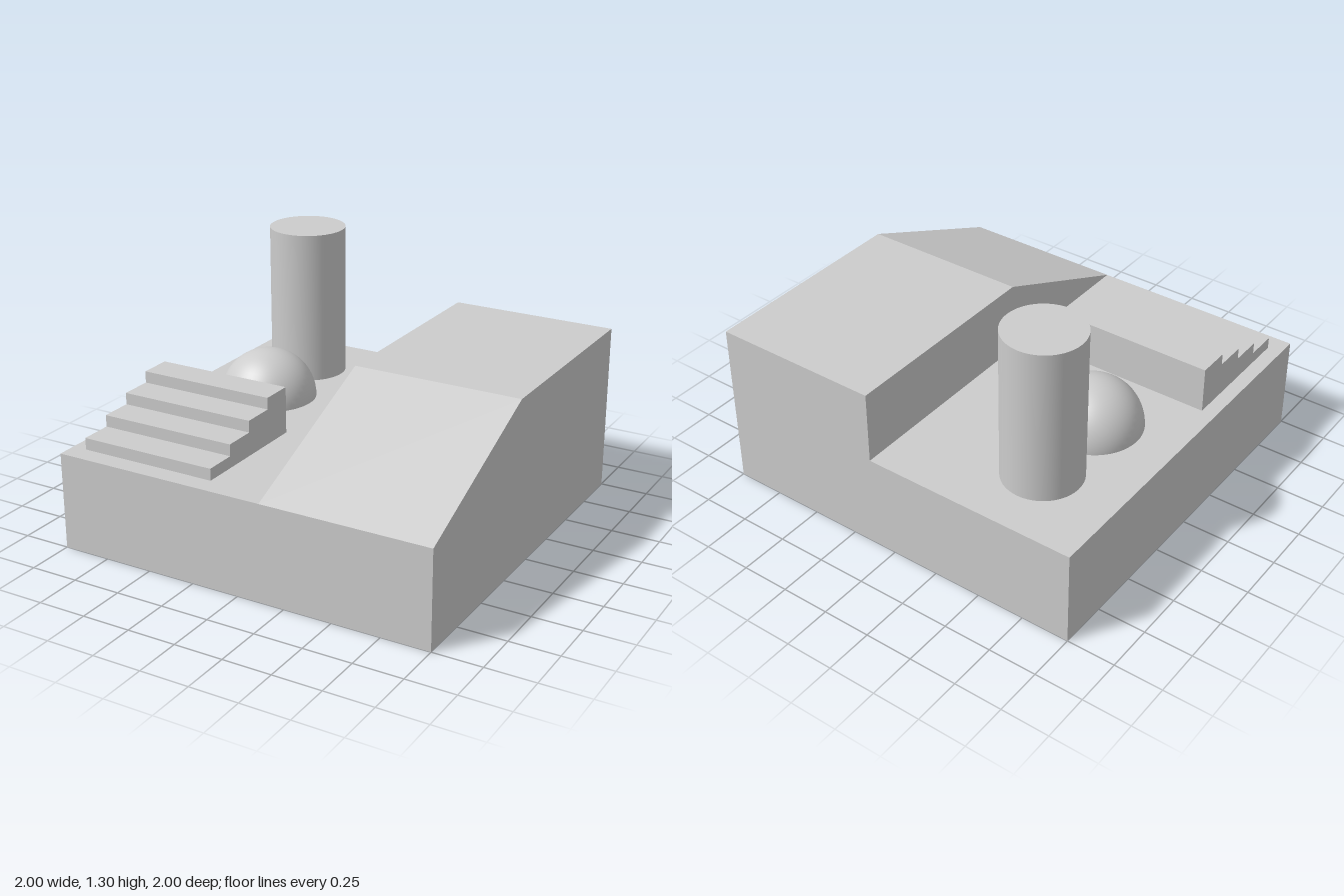
import * as THREE from 'three';

const grey = new THREE.MeshStandardMaterial({ color: 0xcccccc, side: THREE.DoubleSide });
grey.name = 'plain grey';

const GROUND = 0.5; // height of the deck everything stands on

function part(group, name, geometry, x = 0, y = 0, z = 0) {
  const mesh = new THREE.Mesh(geometry, grey);
  mesh.name = name;
  mesh.position.set(x, y, z);
  group.add(mesh);
}

// Side profile given as [z, y] points, extruded along x from x0 to x1
function profileAlongX(points, x0, x1) {
  const shape = new THREE.Shape(points.map(([z, y]) => new THREE.Vector2(-z, y)));
  const geometry = new THREE.ExtrudeGeometry(shape, { depth: x1 - x0, bevelEnabled: false });
  return geometry.rotateY(Math.PI / 2).translate(x0, 0, 0);
}

export function createModel() {
  const model = new THREE.Group();
  model.name = 'terrainBlock';

  // Base: a box shell open underneath (the downward side is left out)
  const base = new THREE.BoxGeometry(2, GROUND, 2);
  const index = Array.from(base.index.array);
  index.splice(18, 6);
  base.setIndex(index);
  base.clearGroups();
  part(model, 'base', base, 0, GROUND / 2, 0);

  // Raised platform with a ramp down to the front edge
  const ramp = [[1, GROUND], [0.125, 0.875], [-1, 0.875], [-1, GROUND]];
  part(model, 'rampPlatform', profileAlongX(ramp, 0.125, 1));

  // Four steps rising towards the back
  const steps = 4, front = 0.9, tread = 0.165, rise = 0.06;
  const stair = [[front, GROUND]];
  for (let i = 0; i < steps; i++) {
    const y = GROUND + rise * (i + 1);
    stair.push([front - tread * i, y], [front - tread * (i + 1), y]);
  }
  stair.push([front - tread * steps, GROUND]);
  part(model, 'stairs', profileAlongX(stair, -0.925, -0.2));

  // Dome and column
  part(model, 'dome',
    new THREE.SphereGeometry(0.25, 48, 16, 0, Math.PI * 2, 0, Math.PI / 2), -0.55, GROUND, -0.15);
  part(model, 'column', new THREE.CylinderGeometry(0.2, 0.2, 0.8, 48), -0.575, GROUND + 0.4, -0.6);

  return model;
}
